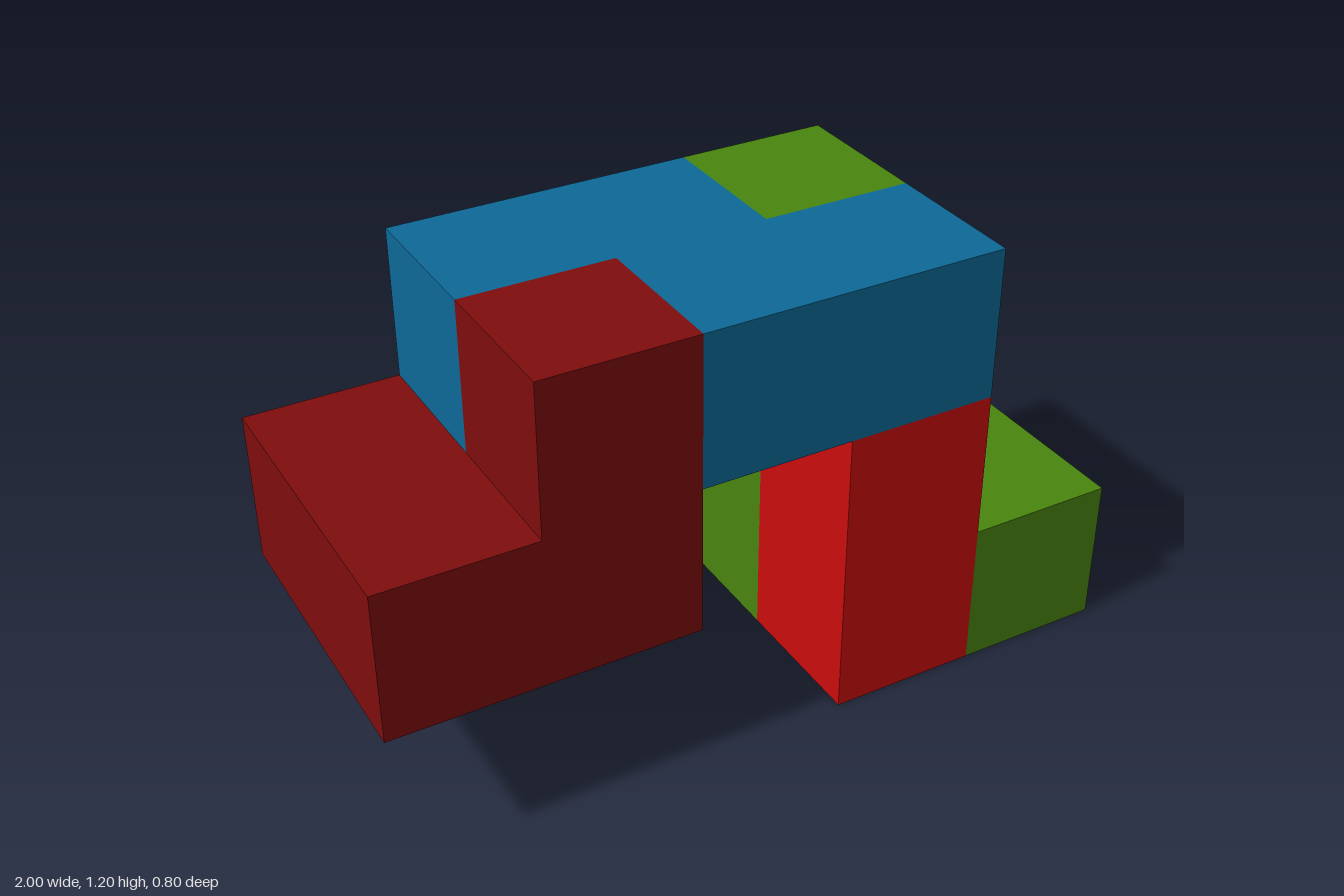
import * as THREE from 'three';

const U = 0.4; // one cube

const mat = (name, color) => {
  const m = new THREE.MeshStandardMaterial({ color });
  m.name = name;
  return m;
};

// Extrudes an outline given in cube units (x, y) through one layer, starting at z
function slab(name, outline, z, material) {
  const shape = new THREE.Shape(outline.map(([x, y]) => new THREE.Vector2(x * U - 1, y * U)));
  const geo = new THREE.ExtrudeGeometry(shape, { depth: U, bevelEnabled: false });
  geo.translate(0, 0, z);
  const mesh = new THREE.Mesh(geo, material);
  mesh.name = name;
  return mesh;
}

const rect = (x0, y0, x1, y1) => [[x0, y0], [x1, y0], [x1, y1], [x0, y1]];

function piece(name, ...meshes) {
  const g = new THREE.Group();
  g.name = name;
  g.add(...meshes);
  return g;
}

export function createModel() {
  const darkRed = mat('dark red', 0x7f0d0d);
  const blue = mat('blue', 0x0d6a98);
  const red = mat('red', 0xcc0d0d);
  const green = mat('green', 0x4a860f);
  const FRONT = 0, BACK = -U;

  const model = new THREE.Group();
  model.name = 'cubePuzzle';
  model.add(
    // raised step on the right end
    piece('darkRedPiece',
      slab('darkRedStep', [[0, 1], [2, 1], [2, 3], [1, 3], [1, 2], [0, 2]], FRONT, darkRed),
      slab('darkRedBackCube', rect(0, 1, 1, 2), BACK, darkRed)),
    // bridge across the top with a short leg behind
    piece('bluePiece',
      slab('blueBridgeFront', rect(2, 2, 4, 3), FRONT, blue),
      slab('blueBridgeBack', [[1, 1], [2, 1], [2, 2], [3, 2], [3, 3], [1, 3]], BACK, blue)),
    // front pillar
    piece('redPiece',
      slab('redPillar', rect(3, 0, 4, 2), FRONT, red)),
    // tall back column with a foot on the left end
    piece('greenPiece',
      slab('greenColumn', [[3, 0], [5, 0], [5, 1], [4, 1], [4, 3], [3, 3]], BACK, green),
      slab('greenFootFront', rect(4, 0, 5, 1), FRONT, green)),
  );
  return model;
}
